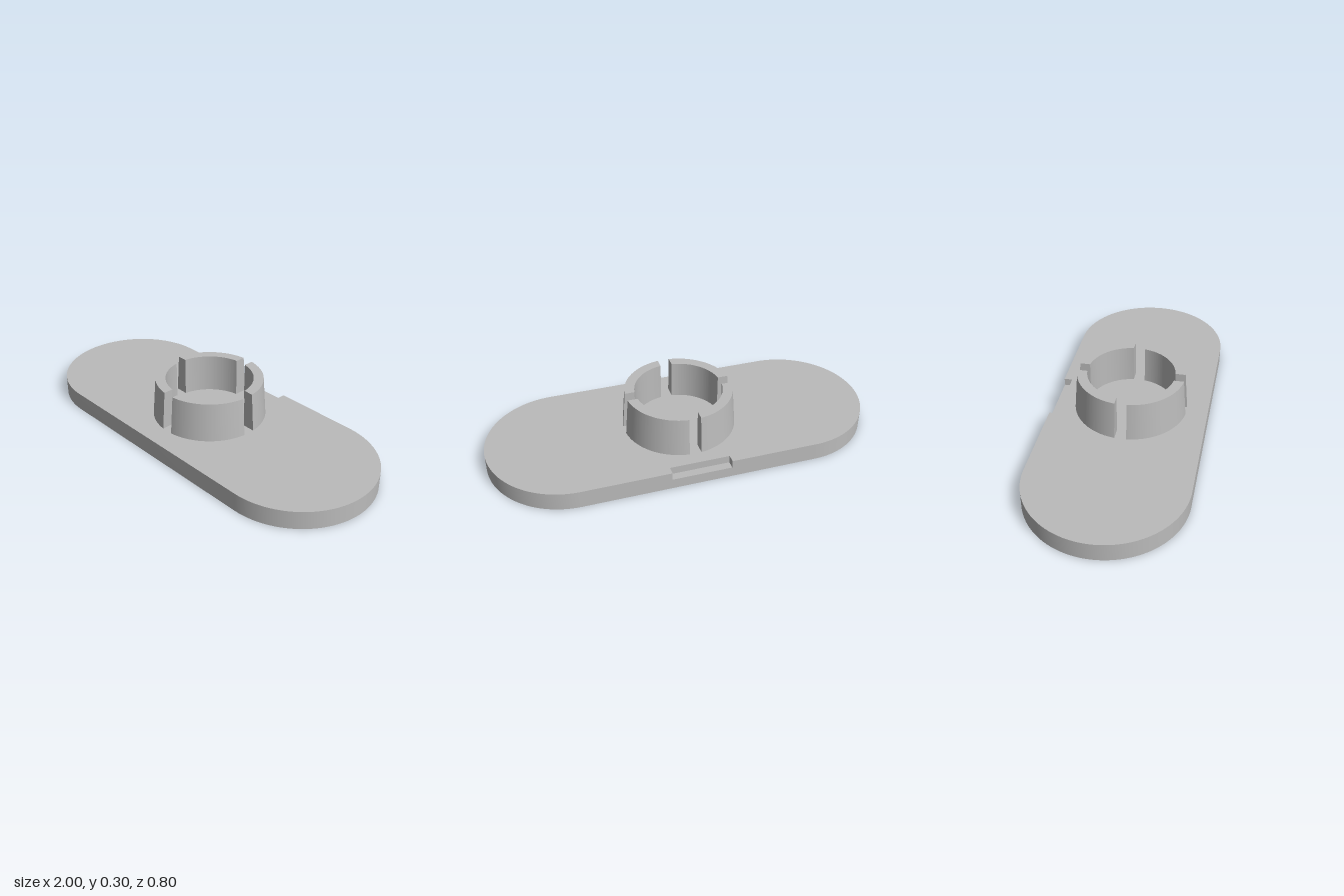
import * as THREE from 'three';
import { toCreasedNormals } from 'three/addons/utils/BufferGeometryUtils.js';

const BASE_H = 0.094, TOTAL_H = 0.295, END_R = 0.4, HALF_FLAT = 0.6;
const SLOT = 0.03, INNER_R = 0.224, OUTER_R = 0.29, TOP_R = 0.275;
const NOTCH_X = 0.153, NOTCH_D = 0.042, NOTCH_FLOOR = 0.054;

// Extrude a plan outline upwards from y = 0 (shape y becomes -z)
function extrudeUp(shape, depth, curveSegments) {
  const geo = new THREE.ExtrudeGeometry(shape, { depth, bevelEnabled: false, curveSegments });
  return geo.rotateX(-Math.PI / 2);
}

// Rounded plate outline with a notch cut into the back edge
function baseGeometry() {
  const s = new THREE.Shape();
  s.moveTo(-HALF_FLAT, -END_R);
  s.lineTo(HALF_FLAT, -END_R);
  s.absarc(HALF_FLAT, 0, END_R, -Math.PI / 2, Math.PI / 2, false);
  s.lineTo(NOTCH_X, END_R);
  s.lineTo(NOTCH_X, END_R - NOTCH_D);
  s.lineTo(-NOTCH_X, END_R - NOTCH_D);
  s.lineTo(-NOTCH_X, END_R);
  s.lineTo(-HALF_FLAT, END_R);
  s.absarc(-HALF_FLAT, 0, END_R, Math.PI / 2, Math.PI * 1.5, false);
  return toCreasedNormals(extrudeUp(s, BASE_H, 40), 0.5);
}

// One quarter of the slotted collar: straight bore, tapered outside
function prongGeometry() {
  const start = (r) => Math.asin(SLOT / r);
  const span = (r) => Math.PI / 2 - 2 * start(r);
  const s = new THREE.Shape();
  s.absarc(0, 0, OUTER_R, start(OUTER_R), start(OUTER_R) + span(OUTER_R), false);
  s.absarc(0, 0, INNER_R, start(INNER_R) + span(INNER_R), start(INNER_R), true);
  const height = TOTAL_H - BASE_H;
  const geo = extrudeUp(s, height, 24);
  const p = geo.attributes.position;
  // Pull the top outer edge inwards while keeping the slot walls parallel
  for (let i = 0; i < p.count; i++) {
    const x = p.getX(i), z = p.getZ(i);
    if (p.getY(i) < height / 2 || Math.hypot(x, z) < (INNER_R + OUTER_R) / 2) continue;
    const t = (Math.atan2(-z, x) - start(OUTER_R)) / span(OUTER_R);
    const a = start(TOP_R) + t * span(TOP_R);
    p.setX(i, TOP_R * Math.cos(a));
    p.setZ(i, -TOP_R * Math.sin(a));
  }
  return toCreasedNormals(geo, 0.5);
}

export function createModel() {
  const grey = new THREE.MeshStandardMaterial({ color: 0xbbbbbb });
  grey.name = 'plain grey';
  const model = new THREE.Group();
  model.name = 'basePlateWithCollar';

  const base = new THREE.Mesh(baseGeometry(), grey);
  base.name = 'basePlate';
  model.add(base);

  // Ledge closing the lower part of the notch
  const ledge = new THREE.Mesh(new THREE.BoxGeometry(2 * NOTCH_X, NOTCH_FLOOR, NOTCH_D), grey);
  ledge.name = 'notchFloor';
  ledge.position.set(0, NOTCH_FLOOR / 2, -END_R + NOTCH_D / 2);
  model.add(ledge);

  // Four prongs around the centre
  const collar = new THREE.Group();
  collar.name = 'slottedCollar';
  collar.position.y = BASE_H;
  const prong = prongGeometry();
  for (let i = 0; i < 4; i++) {
    const mesh = new THREE.Mesh(prong, grey);
    mesh.name = 'collarProng' + (i + 1);
    mesh.rotation.y = i * Math.PI / 2;
    collar.add(mesh);
  }
  model.add(collar);
  return model;
}
